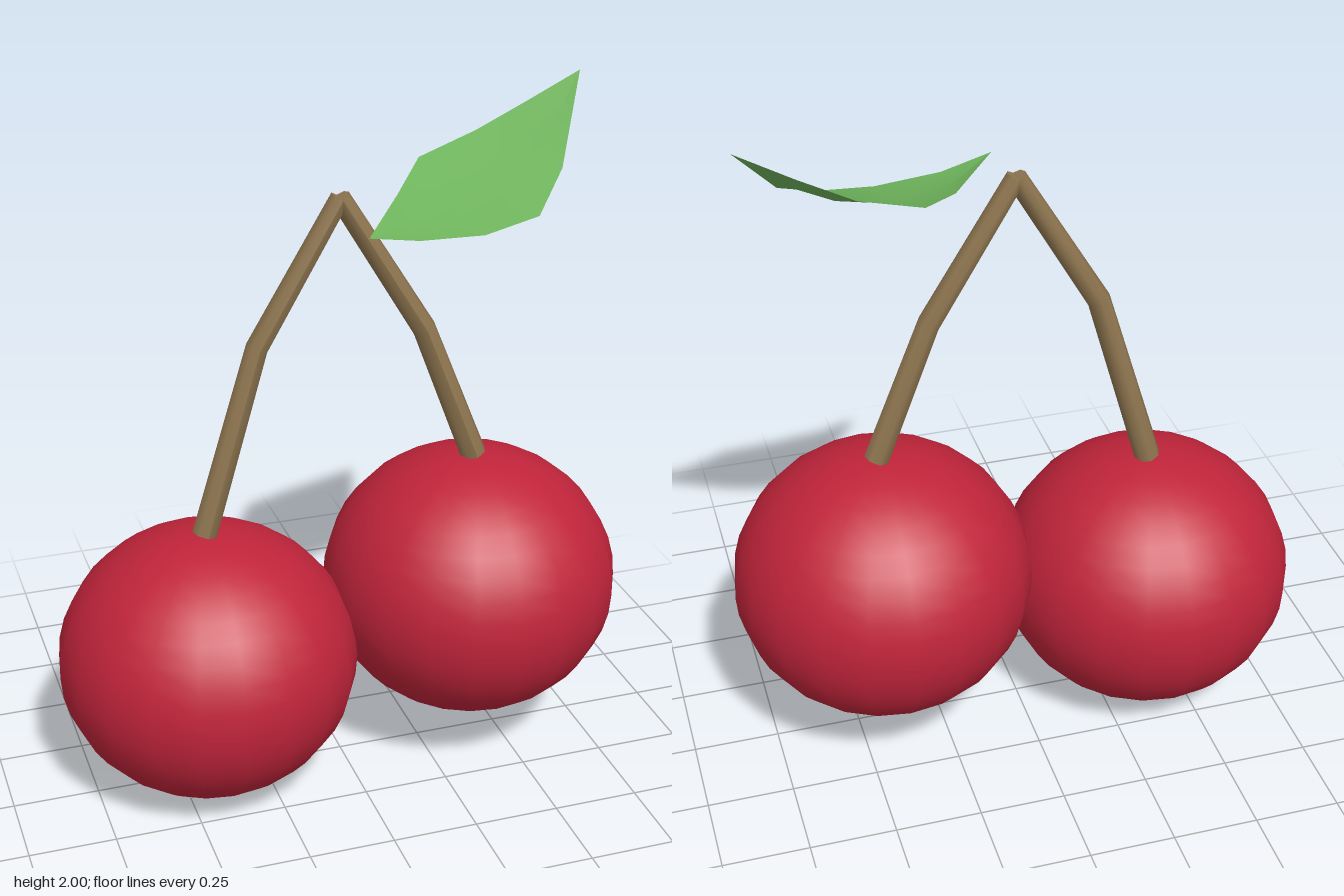
import * as THREE from 'three';

const material = (color, side = THREE.FrontSide) =>
  new THREE.MeshStandardMaterial({ color, side });

function addMesh(group, name, geometry, mat) {
  const mesh = new THREE.Mesh(geometry, mat);
  mesh.name = name;
  group.add(mesh);
  return mesh;
}

// Tapered cylinder bent along a three-point path in the xy plane, mitred at the bend
function stemGeometry(path, topRadius, bottomRadius) {
  const geometry = new THREE.CylinderGeometry(topRadius, bottomRadius, 1, 8, 2);
  const points = path.map(([x, y]) => new THREE.Vector2(x, y));
  const pos = geometry.attributes.position;
  for (let i = 0; i < pos.count; i++) {
    const k = Math.round((0.5 - pos.getY(i)) * 2);
    const up = points[Math.max(k - 1, 0)].clone().sub(points[Math.min(k + 1, 2)]).normalize();
    const s = pos.getX(i);
    pos.setXY(i, points[k].x + up.y * s, points[k].y - up.x * s);
  }
  geometry.computeVertexNormals();
  return geometry;
}

// Cupped leaf: rows from base to tip, each with back edge, midrib and front edge
function leafGeometry() {
  const base = [0, 1.72, 0.245], tip = [0.77, 2.0, -0.18];
  const rows = [
    [base, base, base],
    [[0.17, 1.74, -0.02], [0.16, 1.697, 0.11], [0.15, 1.69, 0.222]],
    [[0.29, 1.79, -0.18], [0.31, 1.705, 0.03], [0.34, 1.68, 0.205]],
    [[0.47, 1.845, -0.205], [0.49, 1.757, -0.01], [0.51, 1.705, 0.17]],
    [[0.62, 1.92, -0.195], [0.625, 1.845, -0.07], [0.63, 1.79, 0.04]],
    [tip, tip, tip],
  ];
  const index = [];
  for (let r = 0; r < rows.length - 1; r++) {
    for (let c = 0; c < 2; c++) {
      const a = r * 3 + c;
      index.push(a, a + 1, a + 3, a + 1, a + 4, a + 3);
    }
  }
  const geometry = new THREE.BufferGeometry();
  geometry.setAttribute('position', new THREE.Float32BufferAttribute(rows.flat(2), 3));
  geometry.setIndex(index);
  geometry.computeVertexNormals();
  return geometry;
}

export function createModel() {
  const group = new THREE.Group();
  group.name = 'cherries';
  const red = material(0xc0243a);
  const brown = material(0x8f7650);
  const green = material(0x6fb45c, THREE.DoubleSide);

  // Fruits: slightly flattened spheres
  const fruit = new THREE.SphereGeometry(1, 20, 20);
  for (const [name, x, y] of [['rightCherry', -0.404, 0.405], ['leftCherry', 0.404, 0.54]]) {
    const cherry = addMesh(group, name, fruit, red);
    cherry.position.set(x, y, 0);
    cherry.scale.set(0.435, 0.4, 0.435);
  }

  // Stems meeting at the top
  addMesh(group, 'rightStem',
    stemGeometry([[0, 1.755], [-0.24, 1.35], [-0.402, 0.805]], 0.029, 0.038), brown);
  addMesh(group, 'leftStem',
    stemGeometry([[0, 1.755], [0.248, 1.35], [0.408, 0.94]], 0.029, 0.038), brown);

  // Leaf
  addMesh(group, 'leaf', leafGeometry(), green);

  return group;
}
